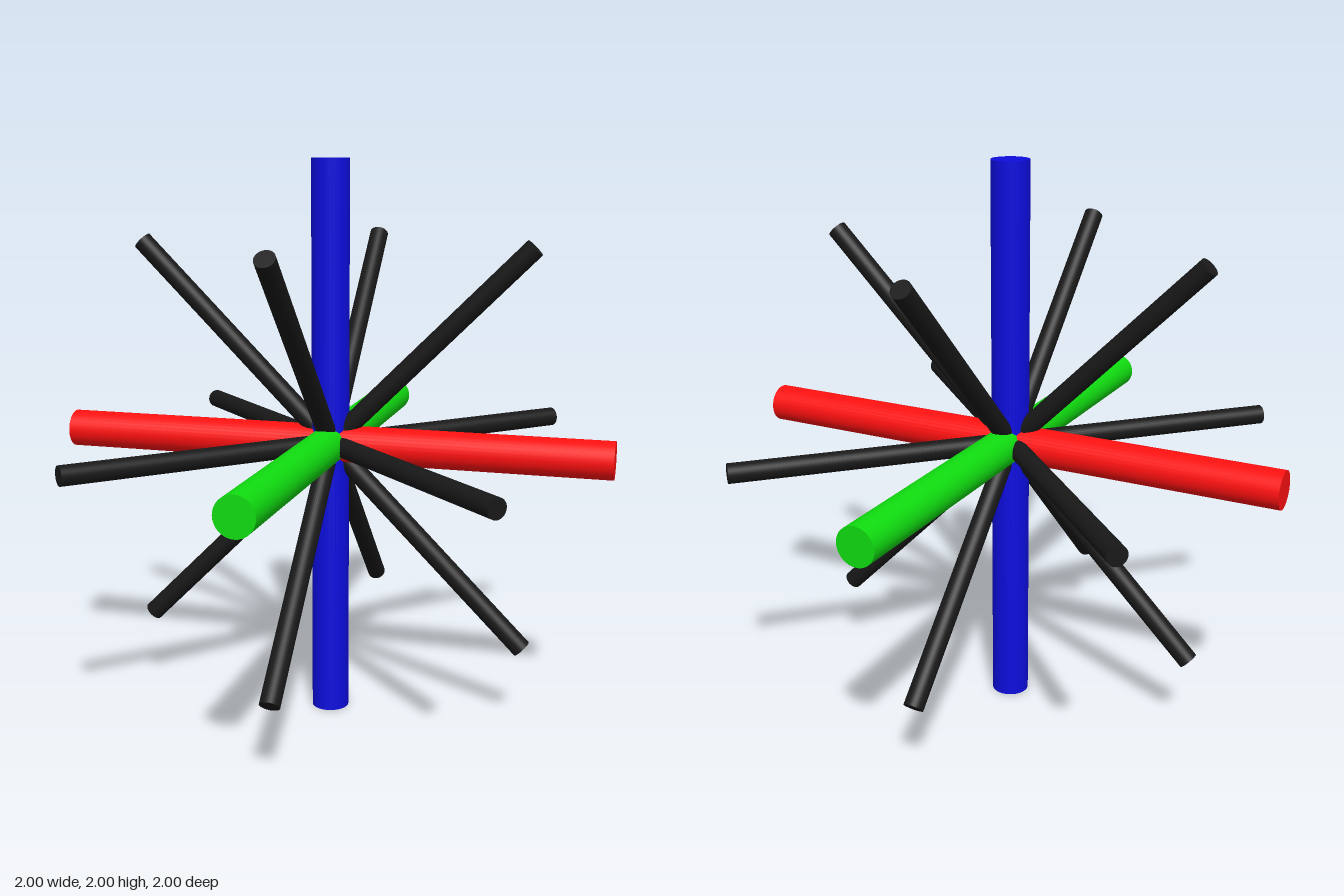
import * as THREE from 'three';

export function createModel() {
  const group = new THREE.Group();
  const up = new THREE.Vector3(0, 1, 0);
  const paint = (color) => new THREE.MeshStandardMaterial({ color });

  // A two-unit rod through the centre, along the given direction
  const addRod = (name, direction, radius, material) => {
    const rod = new THREE.Mesh(new THREE.CylinderGeometry(radius, radius, 2, 32), material);
    rod.name = name;
    rod.quaternion.setFromUnitVectors(up, new THREE.Vector3(...direction).normalize());
    rod.position.y = 1;
    group.add(rod);
  };

  // Thick coloured rods on the three main axes
  addRod('xAxisRod', [1, 0, 0], 0.067, paint(0xff1010));
  addRod('yAxisRod', [0, 1, 0], 0.067, paint(0x0d0ddd));
  addRod('zAxisRod', [0, 0, 1], 0.067, paint(0x10dd10));

  // Thin dark rods on both diagonals of each main plane
  const dark = paint(0x181818);
  for (const s of [1, -1]) {
    const side = s > 0 ? 'Rising' : 'Falling';
    addRod(`diagonalXY${side}`, [1, s, 0], 0.035, dark);
    addRod(`diagonalYZ${side}`, [0, s, 1], 0.035, dark);
    addRod(`diagonalXZ${side}`, [1, 0, s], 0.035, dark);
  }
  return group;
}
